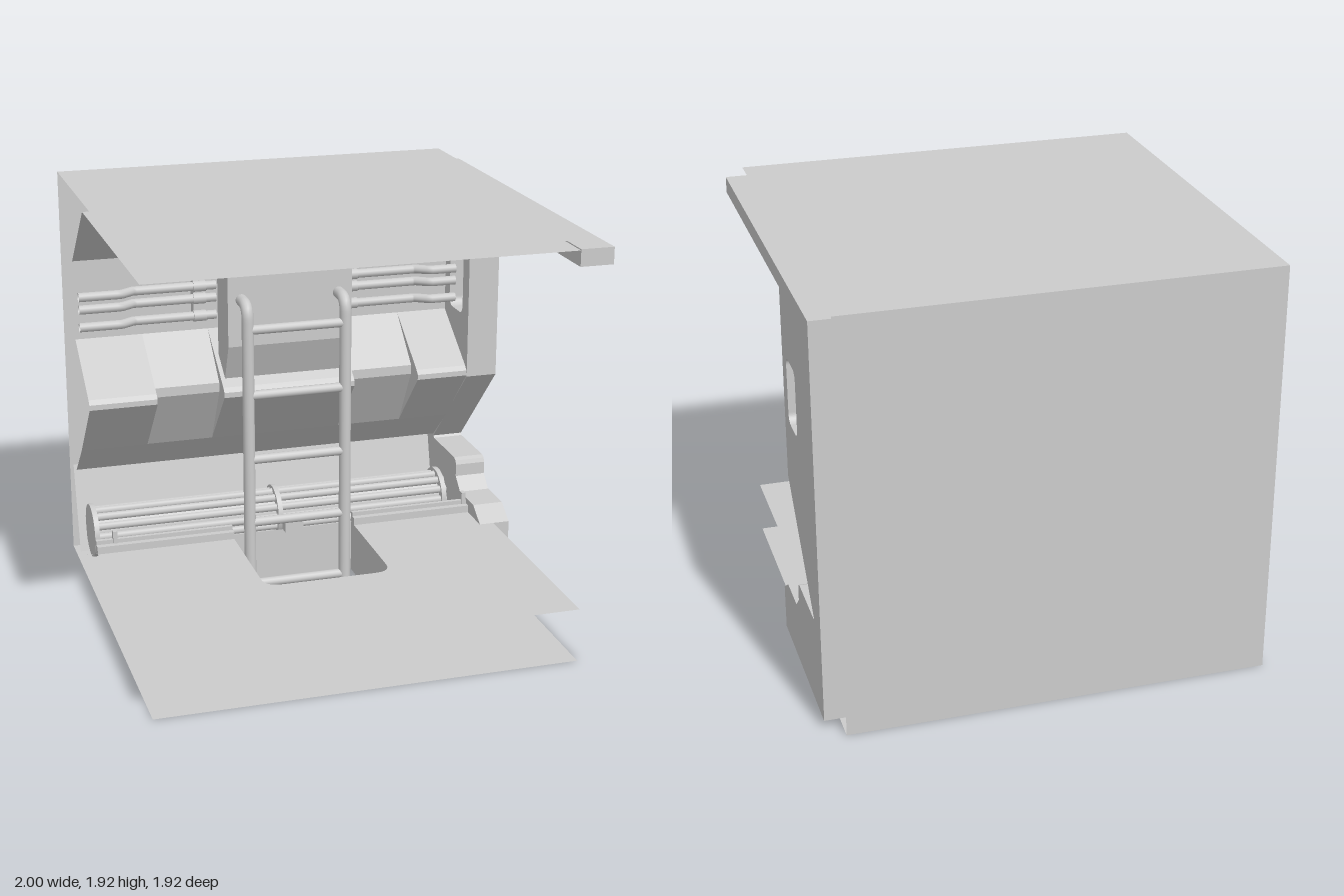
import * as THREE from 'three';

const grey = new THREE.MeshStandardMaterial({ color: 0xcccccc });
const thin = new THREE.MeshStandardMaterial({ color: 0xcccccc, side: THREE.DoubleSide });
const V = (x, y, z) => new THREE.Vector3(x, y, z);

export function createModel() {
  const model = new THREE.Group();

  const add = (name, geometry, x = 0, y = 0, z = 0, material = grey) => {
    const mesh = new THREE.Mesh(geometry, material);
    mesh.name = name;
    mesh.position.set(x, y, z);
    model.add(mesh);
    return mesh;
  };
  const box = (name, w, h, d, x, y, z) => add(name, new THREE.BoxGeometry(w, h, d), x, y, z);
  // Cylinder lying along x
  const rod = (name, r, x0, x1, y, z, sides = 16) =>
    add(name, new THREE.CylinderGeometry(r, r, x1 - x0, sides).rotateZ(Math.PI / 2), (x0 + x1) / 2, y, z);
  // Thin flat-faced sheet between two point rows
  const sheet = (name, a, b) => {
    const p = [];
    for (let i = 0; i < a.length - 1; i++)
      for (const v of [a[i], b[i], b[i + 1], a[i], b[i + 1], a[i + 1]]) p.push(v.x, v.y, v.z);
    const g = new THREE.BufferGeometry();
    g.setAttribute('position', new THREE.Float32BufferAttribute(p, 3));
    g.computeVertexNormals();
    return add(name, g, 0, 0, 0, thin);
  };
  // Sheet swept along x from a [z, y] profile
  const panel = (name, profile, x0, x1) =>
    sheet(name, profile.map(([z, y]) => V(x0, y, z)), profile.map(([z, y]) => V(x1, y, z)));
  // Horizontal sheet from an (x, z) shape
  const deck = (name, shape, y) =>
    add(name, new THREE.ShapeGeometry(shape, 8).rotateX(Math.PI / 2), 0, y, 0, thin);
  const rect = (x0, x1, z0, z1) => new THREE.Shape([[x0, z0], [x1, z0], [x1, z1], [x0, z1]].map(p => new THREE.Vector2(...p)));

  const L = -1, R = 0.92, IN = 0.85, B = -0.96, F = 0.96;
  const H0 = -0.34, H1 = 0.26, HF = 0.33, HB = -0.29;

  // Outer skin: roof, ceiling, back wall
  deck('roof', rect(L, R, B, F), 1.925);
  deck('ceiling', rect(L, R, -0.3, F), 1.88);
  panel('backWall', [[B, 0], [B, 1.925]], L, R);

  // Floors with the hatch opening, rounded at its front corners
  const hatchPath = (path, zBack, r = 0.08) => {
    path.moveTo(H0, zBack);
    path.lineTo(H0, HF - r);
    path.quadraticCurveTo(H0, HF, H0 + r, HF);
    path.lineTo(H1 - r, HF);
    path.quadraticCurveTo(H1, HF, H1, HF - r);
    path.lineTo(H1, zBack);
    return path;
  };
  const lower = rect(L, R, B, F);
  lower.holes.push(hatchPath(new THREE.Path(), HB));
  deck('lowerFloor', lower, 0);
  const upper = hatchPath(new THREE.Shape(), -0.25);
  for (const [x, z] of [[R, -0.25], [R, F], [L, F], [L, -0.25]]) upper.lineTo(x, z);
  deck('upperFloor', upper, 0.25);
  const rim = hatchPath(new THREE.Path(), HB).getPoints(8);
  rim.push(rim[0].clone());
  sheet('hatchWall', rim.map(p => V(p.x, 0, p.y)), rim.map(p => V(p.x, 0.25, p.y)));

  // End wall with rounded window
  const wall = new THREE.Shape();
  [[-0.885, 0.04], [-0.885, 1.885], [0.96, 1.885], [0.96, 1.81], [-0.305, 1.81], [-0.305, 0.935],
    [-0.755, 0.475], [-0.745, 0.465], [-0.45, 0.465], [-0.428, 0.455], [-0.42, 0.435], [-0.42, 0.375],
    [-0.355, 0.315], [-0.17, 0.315], [-0.075, 0.25], [-0.075, 0.04]]
    .forEach(([z, y], i) => (i ? wall.lineTo(-z, y) : wall.moveTo(-z, y)));
  const win = new THREE.Path();
  const a0 = 0.385, a1 = 0.565, b0 = 1.23, b1 = 1.53, wr = 0.04;
  win.absarc(a1 - wr, b1 - wr, wr, 0, Math.PI / 2);
  win.absarc(a0 + wr, b1 - wr, wr, Math.PI / 2, Math.PI);
  win.absarc(a0 + wr, b0 + wr, wr, Math.PI, Math.PI * 1.5);
  win.absarc(a1 - wr, b0 + wr, wr, Math.PI * 1.5, Math.PI * 2);
  wall.holes.push(win);
  add('endWall', new THREE.ExtrudeGeometry(wall, { depth: 1 - IN, bevelEnabled: false, curveSegments: 6 })
    .rotateY(Math.PI / 2), IN);

  // Interior lining: upper slope, pipe niche, shelf, lip and underside
  panel('upperLining', [[-0.3, 1.88], [-0.63, 1.57], [-0.63, 1.19]], L, IN);
  const shelf = [[-0.63, 1.19], [-0.33, 0.985], [-0.31, 0.965], [-0.31, 0.94], [-0.58, 0.65]];
  const recess = [[-0.63, 1.19], [-0.41, 0.985], [-0.41, 0.965], [-0.41, 0.94], [-0.58, 0.65]];
  const recesses = [[-0.68, -0.36], [0.28, 0.6]];
  for (const [x0, x1] of [[L, -0.68], [-0.36, 0.28], [0.6, IN]]) panel('shelf', shelf, x0, x1);
  for (const [x0, x1] of recesses) {
    panel('shelfRecess', recess, x0, x1);
    for (const x of [x0, x1])
      sheet('recessSide', shelf.map(([z, y]) => V(x, y, z)), recess.map(([z, y]) => V(x, y, z)));
  }
  panel('underside', [[-0.58, 0.65], [-0.76, 0.485], [-0.85, 0.48]], L, IN);
  panel('trough', [[-0.85, 0.48], [-0.74, 0.06], [-0.69, 0.06], [-0.25, 0.25]], L, IN);

  // Central column above the ladder
  const column = [[-0.3, 1.88], [-0.3, 1.19], [-0.39, 0.98]];
  panel('columnFront', column, H0, H1);
  for (const x of [H0, H1])
    sheet('columnSide', column.map(([z, y]) => V(x, y, z)), column.map(([, y]) => V(x, y, -0.5)));

  // Pipes with bends and clamps on both sides of the column
  for (const y of [1.285, 1.37, 1.43]) {
    for (const [outer, bend, inner, clamp] of [[L, -0.8, H0, -0.42], [IN, 0.72, H1, 0.33]]) {
      const s = Math.sign(outer);
      const path = new THREE.CurvePath();
      const p = [V(outer, y, -0.5), V(bend, y, -0.5), V(bend - s * 0.06, y, -0.54), V(inner, y, -0.54)];
      for (let i = 0; i < 3; i++) path.add(new THREE.LineCurve3(p[i], p[i + 1]));
      add('pipe', new THREE.TubeGeometry(path, 30, 0.022, 12), 0, 0, 0, thin);
      rod('pipeClamp', 0.027, clamp - 0.03, clamp + 0.03, y, -0.54, 12);
    }
  }
  for (const x of [-0.42, 0.33]) box('clampBracket', 0.04, 0.2, 0.06, x, 1.36, -0.6);

  // Ribbed roller in the trough
  const ry = 0.205, rz = -0.65;
  rod('rollerCore', 0.085, -0.94, IN, ry, rz, 24);
  for (let i = 0; i < 12; i++) {
    const a = i * Math.PI / 6;
    rod('rollerRib', 0.02, -0.94, IN, ry + 0.098 * Math.sin(a), rz + 0.098 * Math.cos(a), 8);
  }
  for (const x of [-0.95, -0.03, 0.83]) rod('rollerFlange', 0.13, x - 0.012, x + 0.012, ry, rz, 32);

  // Rail along the back edge of the upper floor
  for (const [x0, x1, end] of [[L, H0, -0.91], [H1, IN, 0.835]]) {
    box('floorRail', x1 - x0, 0.035, 0.05, (x0 + x1) / 2, 0.268, -0.265);
    box('floorRailLip', x1 - x0, 0.02, 0.02, (x0 + x1) / 2, 0.295, -0.28);
    box('railStop', 0.02, 0.06, 0.03, end, 0.315, -0.28);
  }
  box('ladderFoot', 0.09, 0.07, 0.05, -0.04, 0.285, -0.27);

  // Square lamps under the trough
  for (const x of [-0.52, 0.44]) {
    const frame = rect(-0.05, 0.05, -0.05, 0.05);
    frame.holes.push(rect(-0.035, 0.035, -0.035, 0.035));
    add('lampFrame', new THREE.ExtrudeGeometry(frame, { depth: 0.1, bevelEnabled: false }), x, 0.16, -0.48);
    box('lamp', 0.05, 0.05, 0.06, x, 0.16, -0.45);
  }

  // Ladder
  const lz = -0.19, lx = [-0.275, 0.195];
  for (const x of lx) {
    const path = new THREE.CurvePath();
    path.add(new THREE.LineCurve3(V(x, 0.01, lz), V(x, 1.35, lz)));
    path.add(new THREE.QuadraticBezierCurve3(V(x, 1.35, lz), V(x, 1.415, lz), V(x, 1.415, lz - 0.06)));
    path.add(new THREE.LineCurve3(V(x, 1.415, lz - 0.06), V(x, 1.415, -0.305)));
    add('ladderRail', new THREE.TubeGeometry(path, 80, 0.028, 16), 0, 0, 0, thin);
  }
  for (let i = 0; i < 5; i++) rod('ladderRung', 0.022, lx[0], lx[1], 0.03 + i * 0.3175, lz);

  return model;
}
